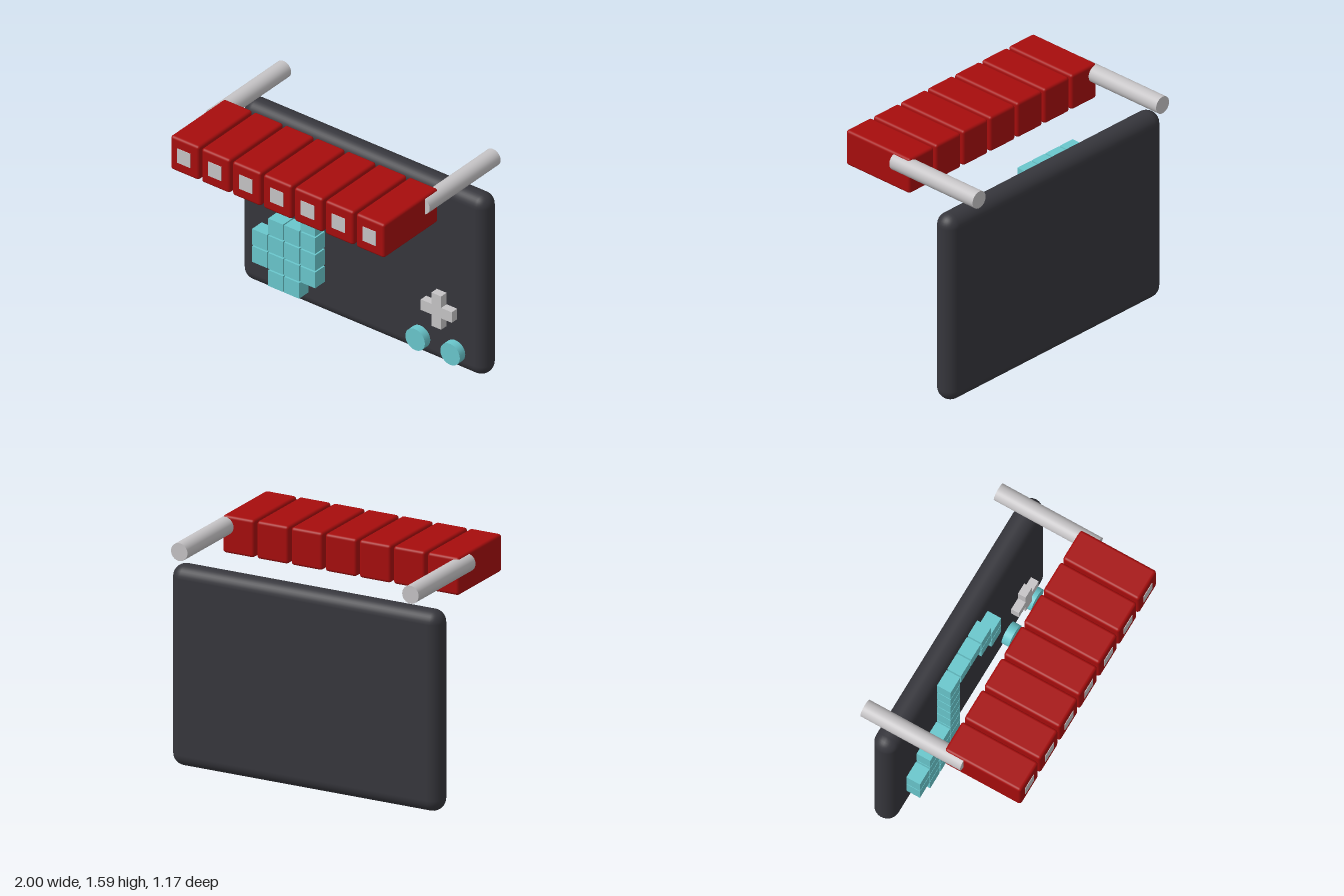
import * as THREE from 'three';
import { RoundedBoxGeometry } from 'three/addons/geometries/RoundedBoxGeometry.js';

const material = (name, color) => {
  const m = new THREE.MeshStandardMaterial({ color });
  m.name = name;
  return m;
};

export function createModel() {
  const dark = material('charcoal', 0x36363c);
  const red = material('red', 0xa60d0d);
  const grey = material('light grey', 0xc5c3c5);
  const teal = material('teal', 0x69c6cc);

  const model = new THREE.Group();
  model.name = 'handheldWithBlocks';

  const add = (name, geometry, mat, x, y, z, parent = model) => {
    const mesh = new THREE.Mesh(geometry, mat);
    mesh.name = name;
    mesh.position.set(x, y, z);
    parent.add(mesh);
    return mesh;
  };
  const group = (name) => {
    const g = new THREE.Group();
    g.name = name;
    model.add(g);
    return g;
  };

  // Rounded slab body
  add('body', new RoundedBoxGeometry(2, 1.37, 0.17, 4, 0.085), dark, 0, 0.685, -0.388);

  // Pixel figure of raised cubes, top row first
  const rows = [
    '...####.',
    '...#..##',
    '...#...#',
    '...#....',
    '...#....',
    '.###....',
    '####....',
    '####....',
    '.##.....',
  ];
  const pixels = group('pixelFigure');
  const cube = new THREE.BoxGeometry(0.122, 0.12, 0.12);
  rows.forEach((row, r) => [...row].forEach((cell, c) => {
    if (cell === '#') add('pixelCube', cube, teal, -0.757 + c * 0.1316, 1.233 - r * 0.1315, -0.262, pixels);
  }));

  // Direction pad as one extruded cross
  const a = 0.04, b = 0.127;
  const cross = new THREE.Shape([
    [a, a], [a, b], [-a, b], [-a, a], [-b, a], [-b, -a],
    [-a, -a], [-a, -b], [a, -b], [a, -a], [b, -a], [b, a],
  ].map(([x, y]) => new THREE.Vector2(x, y)));
  add('directionPad', new THREE.ExtrudeGeometry(cross, { depth: 0.075, bevelEnabled: false }), grey, 0.655, 0.432, -0.321);

  // Round buttons
  const buttonGeometry = new THREE.CylinderGeometry(0.08, 0.08, 0.075, 32).rotateX(Math.PI / 2);
  for (const x of [0.482, 0.768]) add('roundButton', buttonGeometry, teal, x, 0.146, -0.2835);

  // Row of red blocks, each with a square plate on its front
  const blocks = group('blockRow');
  const blockGeometry = new RoundedBoxGeometry(0.233, 0.257, 0.568, 3, 0.02);
  const plateGeometry = new THREE.BoxGeometry(0.108, 0.108, 0.008);
  for (let i = -3; i <= 3; i++) {
    add('redBlock', blockGeometry, red, i * 0.253, 1.46, 0.297, blocks);
    add('blockPlate', plateGeometry, grey, i * 0.253 - 0.003, 1.46, 0.581, blocks);
  }

  // Rods running back from the end blocks
  const rodGeometry = new THREE.CylinderGeometry(0.061, 0.061, 0.742, 32).rotateX(Math.PI / 2);
  for (const [name, x] of [['leftRod', 0.854], ['rightRod', -0.86]]) add(name, rodGeometry, grey, x, 1.517, -0.216);

  return model;
}
